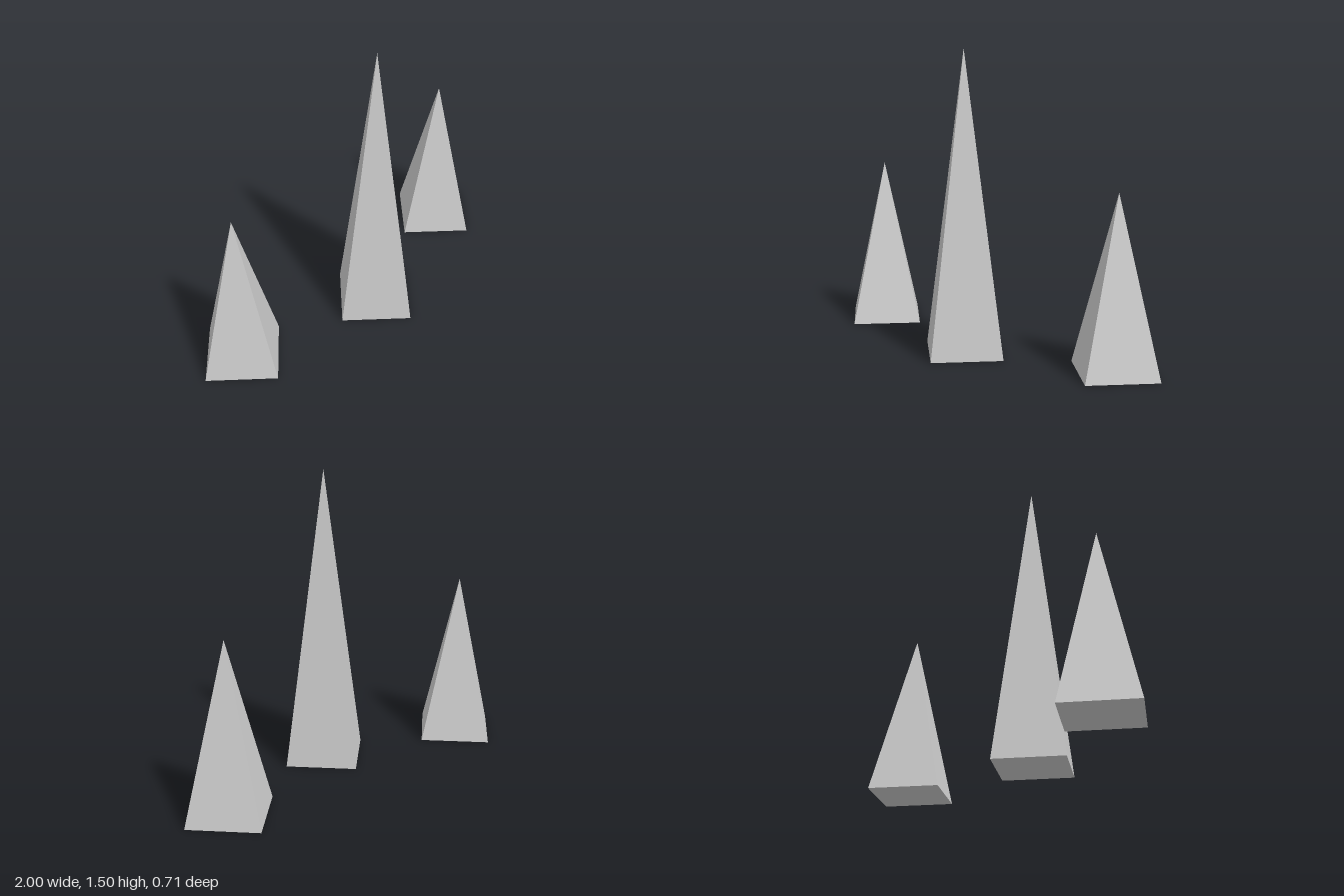
import * as THREE from 'three';

export function createModel() {
  const group = new THREE.Group();
  const material = new THREE.MeshStandardMaterial({ color: 0xcccccc, flatShading: true });

  // Four-sided spike with a closed base, corners pointing along x and z
  function addSpike(name, height, x, z) {
    const spike = new THREE.Mesh(new THREE.ConeGeometry(0.25, height, 4), material);
    spike.name = name;
    spike.position.set(x, height / 2, z);
    group.add(spike);
  }

  // Tall spike in front, two short ones set back on either side
  addSpike('centreSpike', 1.498, 0, 0.107);
  addSpike('leftSpike', 0.856, 0.75, -0.107);
  addSpike('rightSpike', 0.856, -0.75, -0.107);

  return group;
}
